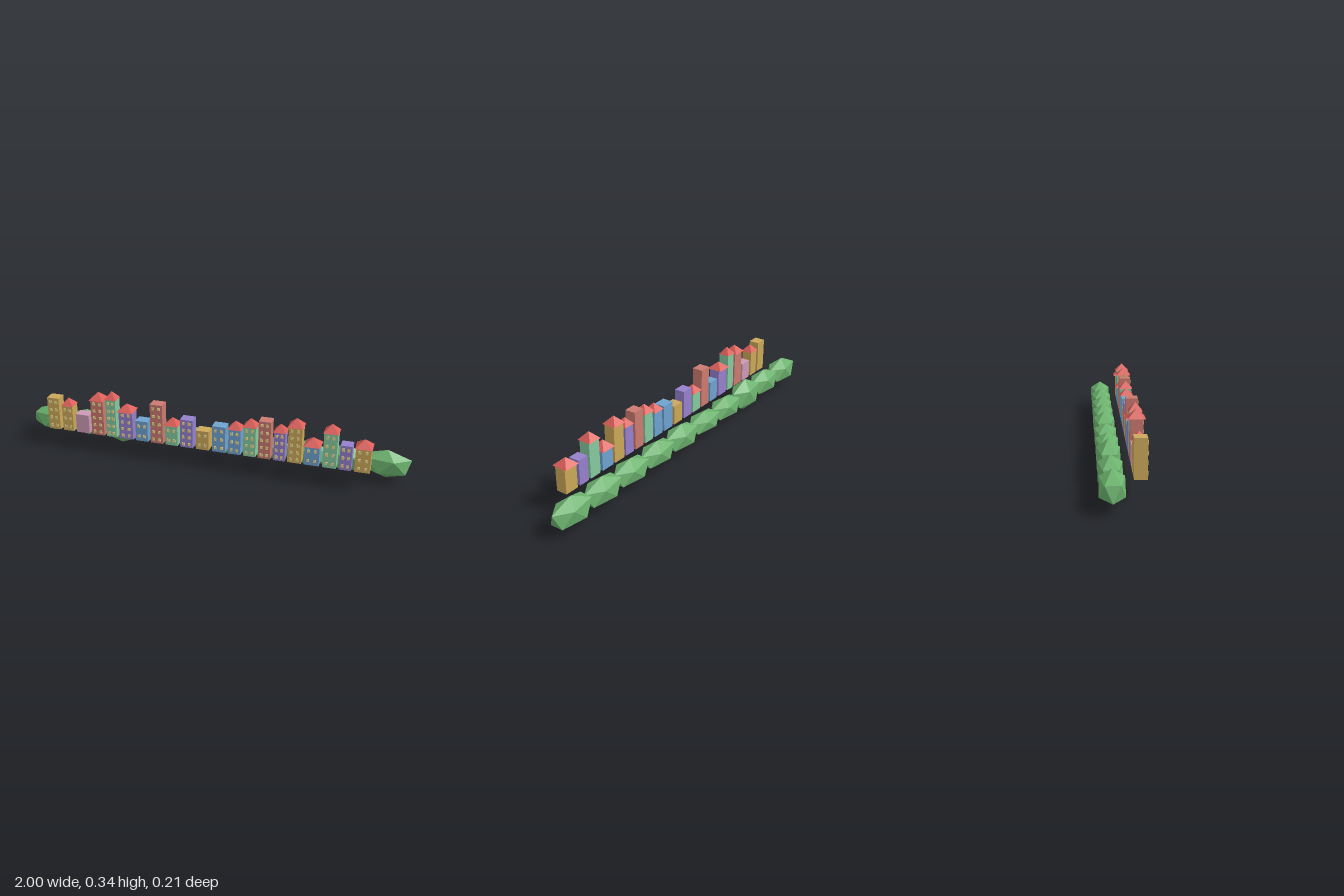
import * as THREE from 'three';

const mat = (name, color) => {
  const m = new THREE.MeshStandardMaterial({ color });
  m.name = name;
  return m;
};

export function createModel() {
  const model = new THREE.Group();
  model.name = 'houseRow';

  const walls = {
    mustard: mat('mustard wall', 0xcca85a),
    pink: mat('pink wall', 0xcc9ab5),
    red: mat('brick wall', 0xcc7a70),
    green: mat('mint wall', 0x86c9a0),
    purple: mat('purple wall', 0x9580cc),
    blue: mat('blue wall', 0x6fa3d0),
  };
  const roofMat = mat('red roof', 0xdb5f59);
  const windowMat = mat('pale window', 0xe8d48a);
  const bushMat = mat('bush green', 0x6cb26e);
  bushMat.flatShading = true;
  roofMat.flatShading = true;

  const base = 0.1, houseZ = 0.065, depth = 0.056;

  const add = (parent, name, geometry, material, x, y, z) => {
    const mesh = new THREE.Mesh(geometry, material);
    mesh.name = name;
    mesh.position.set(x, y, z);
    parent.add(mesh);
    return mesh;
  };

  // Houses: wall colour, centre x, width, wall top, roof apex (0 = flat roof)
  const houses = [
    ['mustard', -0.805, 0.064, 0.273, 0],
    ['mustard', -0.727, 0.058, 0.238, 0.275],
    ['pink', -0.645, 0.072, 0.2, 0],
    ['red', -0.56, 0.068, 0.29, 0.329],
    ['green', -0.485, 0.054, 0.302, 0.342],
    ['purple', -0.405, 0.074, 0.248, 0.284],
    ['blue', -0.32, 0.064, 0.209, 0],
    ['red', -0.24, 0.065, 0.309, 0],
    ['green', -0.162, 0.064, 0.206, 0.243],
    ['purple', -0.083, 0.065, 0.249, 0],
    ['mustard', 0, 0.066, 0.201, 0],
    ['blue', 0.083, 0.068, 0.237, 0],
    ['blue', 0.163, 0.061, 0.232, 0.27],
    ['green', 0.238, 0.061, 0.255, 0.294],
    ['red', 0.312, 0.06, 0.296, 0],
    ['purple', 0.385, 0.056, 0.248, 0.285],
    ['mustard', 0.46, 0.067, 0.286, 0.325],
    ['blue', 0.543, 0.072, 0.2, 0.238],
    ['green', 0.628, 0.065, 0.28, 0.319],
    ['purple', 0.703, 0.056, 0.227, 0],
    ['mustard', 0.783, 0.072, 0.225, 0.262],
  ];

  for (const [colour, x, width, top, apex] of houses) {
    const house = new THREE.Group();
    house.name = 'house';
    model.add(house);
    const h = top - base;
    add(house, 'walls', new THREE.BoxGeometry(width, h, depth), walls[colour], x, base + h / 2, houseZ);

    // Four-sided roof with a slight overhang
    if (apex) {
      const roof = new THREE.ConeGeometry(width * 1.12 / Math.SQRT2, apex - top, 4);
      roof.rotateY(Math.PI / 4);
      add(house, 'roof', roof, roofMat, x, (top + apex) / 2, houseZ);
    }

    // Two columns of front windows
    if (colour === 'pink') continue;
    const rows = Math.max(2, Math.floor(h / 0.037));
    const pane = new THREE.BoxGeometry(0.013, 0.015, 0.004);
    for (let i = 0; i < rows; i++) {
      for (const side of [-1, 1]) {
        add(house, 'window', pane, windowMat,
          x + side * width * 0.23, base + h * (i + 0.5) / rows, houseZ + depth / 2 + 0.001);
      }
    }
  }

  // Hedge: stretched icosahedra standing on a vertex
  const bushGeometry = new THREE.IcosahedronGeometry(1, 0);
  bushGeometry.rotateZ(-Math.atan(2 / (1 + Math.sqrt(5))));
  const bushHeights = [0.074, 0.074, 0.09, 0.064, 0.058, 0.071, 0.066, 0.066, 0.07, 0.074];
  bushHeights.forEach((ry, i) => {
    const x = -0.885 + i * 1.77 / 9;
    const bush = add(model, 'bush', bushGeometry, bushMat, x, 0.09, -0.053);
    bush.scale.set(0.129, ry, 0.063);
  });

  return model;
}
